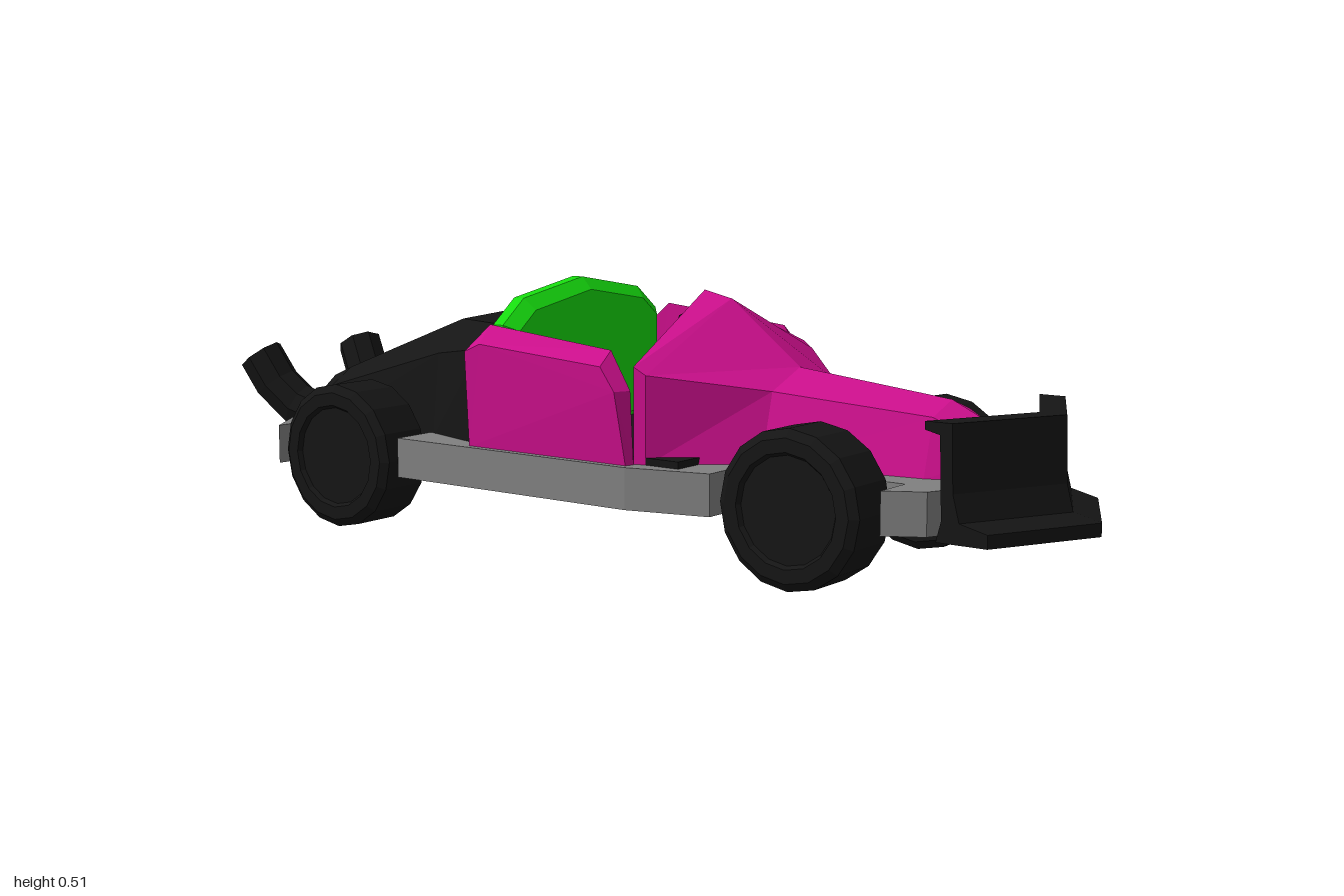
import * as THREE from 'three';

const mat = (color) => new THREE.MeshStandardMaterial({ color, flatShading: true, side: THREE.DoubleSide });

// Skin a row of cross-sections (arrays of [x, y, z]); ring closes each section, caps fill the ends
function loft(sections, ring = true, caps = true) {
  const n = sections[0].length, idx = [];
  for (let s = 0; s < sections.length - 1; s++) {
    for (let i = 0; i < (ring ? n : n - 1); i++) {
      const a = s * n + i, b = s * n + (i + 1) % n;
      idx.push(a, b, a + n, b, b + n, a + n);
    }
  }
  if (caps) {
    const last = (sections.length - 1) * n;
    const capTris = (sec) => {
      // project onto the plane the section spans most
      const range = [0, 1, 2].map((k) => Math.max(...sec.map((p) => p[k])) - Math.min(...sec.map((p) => p[k])));
      const [u, v] = [0, 1, 2].filter((k) => k !== range.indexOf(Math.min(...range)));
      return THREE.ShapeUtils.triangulateShape(sec.map((p) => new THREE.Vector2(p[u], p[v])), []);
    };
    capTris(sections[0]).forEach(([a, b, c]) => idx.push(a, c, b));
    capTris(sections[sections.length - 1]).forEach(([a, b, c]) => idx.push(last + a, last + b, last + c));
  }
  const g = new THREE.BufferGeometry();
  g.setAttribute('position', new THREE.Float32BufferAttribute(sections.flat(2), 3));
  g.setIndex(idx);
  const flat = g.toNonIndexed();
  flat.computeVertexNormals();
  return flat;
}

// Mirror a half profile, listed from the right-hand base up to the ridge on x = 0
const mirrored = (half) => [...half.map(([x, y, z]) => [-x, y, z]), ...half.slice(0, -1).reverse()];

export function createModel() {
  const car = new THREE.Group();
  car.name = 'car';
  const grey = mat(0x808080), black = mat(0x151515), pink = mat(0xcc0f8c), green = mat(0x16dd0e), red = mat(0xdd1a10);
  const add = (name, geometry, material, parent = car) => {
    const m = new THREE.Mesh(geometry, material);
    m.name = name;
    parent.add(m);
    return m;
  };

  // Chassis plate, notched around the wheels
  const edge = [[0, 0.86], [0.21, 0.77], [0.25, 0.7], [0.165, 0.7], [0.165, 0.365], [0.29, 0.365], [0.33, 0.2],
    [0.33, -0.38], [0.22, -0.38], [0.22, -0.69], [0.355, -0.7], [0.2, -0.8], [0.14, -0.77], [0, -0.77]];
  const outline = [...edge, ...edge.slice(1, -1).reverse().map(([x, z]) => [-x, z])];
  const plate = new THREE.ExtrudeGeometry(new THREE.Shape(outline.map(([x, z]) => new THREE.Vector2(x, -z))),
    { depth: 0.08, bevelEnabled: false });
  plate.rotateX(-Math.PI / 2).translate(0, 0.117, 0);
  add('chassis', plate, grey);

  // Shallow V keel under the chassis
  add('keel', loft([[0.8, 0.03], [0.4, 0.09], [-0.4, 0.17], [-0.76, 0.17]].map(([z, w]) =>
    [[-w, 0.12, z], [-w, 0.105, z], [0, 0.086, z], [w, 0.105, z], [w, 0.12, z]])), black);

  // Cockpit floor
  add('cockpitFloor', new THREE.BoxGeometry(0.57, 0.015, 0.5).translate(0, 0.203, 0.04), black);

  // Nose and windscreen cowl, open at the back
  add('nose', loft([
    [[0.035, 0.195, 0.86], [0.03, 0.215, 0.855], [0, 0.225, 0.86]],
    [[0.05, 0.195, 0.825], [0.04, 0.25, 0.82], [0, 0.272, 0.825]],
    [[0.1, 0.195, 0.7], [0.07, 0.305, 0.7], [0, 0.33, 0.7]],
    [[0.145, 0.195, 0.38], [0.11, 0.33, 0.38], [0, 0.365, 0.37]],
    [[0.285, 0.195, 0.215], [0.285, 0.365, 0.215], [0, 0.488, 0.21]],
    [[0.29, 0.195, 0.19], [0.29, 0.38, 0.19], [0, 0.502, 0.145]],
  ].map(mirrored), false, false), pink);
  add('noseTip', loft([[[-0.035, 0.195, 0.86], [-0.03, 0.215, 0.855], [0, 0.225, 0.86], [0.03, 0.215, 0.855],
    [0.035, 0.195, 0.86]], Array(5).fill([0, 0.195, 0.862])], true, false), pink);

  // Steering wheel and its column
  const wheel = add('steeringWheel', new THREE.TorusGeometry(0.04, 0.008, 6, 10), black);
  wheel.position.set(0, 0.455, 0.135);
  wheel.rotation.x = 1.2;
  const column = add('steeringColumn', new THREE.CylinderGeometry(0.008, 0.008, 0.1, 6), black);
  column.position.set(0, 0.44, 0.18);
  column.rotation.x = 1.2;

  // Side panels with bevelled outer edges
  const outerLoop = [[0.314, 0.195, 0.19], [0.326, 0.335, 0.172], [0.327, 0.38, 0.14], [0.326, 0.402, -0.16],
    [0.325, 0.385, -0.2], [0.314, 0.195, -0.2]];
  const innerLoop = [[0.296, 0.195, 0.195], [0.293, 0.335, 0.185], [0.293, 0.408, 0.14], [0.293, 0.438, -0.16],
    [0.293, 0.395, -0.21], [0.296, 0.195, -0.21]];
  for (const s of [1, -1]) {
    const flip = (loop) => loop.map(([x, y, z]) => [s * x, y, z]);
    const rings = [flip(innerLoop), flip(outerLoop)];
    add(s > 0 ? 'leftSidePanel' : 'rightSidePanel', loft(s > 0 ? rings : rings.reverse()), pink);
  }

  // Bevelled arched bulkhead behind the seats
  const arch = [[-0.225, 0.22], [0.225, 0.22], [0.225, 0.42], [0.176, 0.458], [0, 0.488], [-0.176, 0.458], [-0.225, 0.42]];
  add('headrestArch', new THREE.ExtrudeGeometry(new THREE.Shape(arch.map((p) => new THREE.Vector2(...p))),
    { depth: 0.025, bevelSize: 0.025, bevelThickness: 0.023, bevelSegments: 1 }).translate(0, 0, -0.19), green);

  // Engine cover
  add('engineCover', loft([
    [-0.205, 0.285, 0.275, 0.385, 0.19, 0.425, 0.432],
    [-0.37, 0.235, 0.215, 0.36, 0.14, 0.425, 0.432],
    [-0.7, 0.215, 0.2, 0.265, 0.14, 0.3, 0.312],
    [-0.77, 0.18, 0.175, 0.235, 0.12, 0.275, 0.285],
  ].map(([z, xb, xs, ys, xt, yt, yr]) =>
    mirrored([[xb, 0.19, z], [xs, ys, z], [xt, yt, z], [0, yr, z]]))), black);
  add('engineRear', new THREE.BoxGeometry(0.3, 0.09, 0.06).translate(0, 0.16, -0.75), black);

  // Front bumper: one side profile swept along a V
  const bumper = [[1, 0.112], [1, 0.137], [0.945, 0.15], [0.932, 0.2], [0.928, 0.322], [0.875, 0.322],
    [0.875, 0.307], [0.905, 0.3], [0.91, 0.15], [0.9, 0.112]];
  add('frontBumper', loft([-0.217, 0, 0.217].map((x) =>
    bumper.map(([z, y]) => [x, y, z - 0.5 * Math.abs(x)]))), black);

  // Wheels: tyre with a recessed hub face
  const tyre = [[0, -0.055], [0.1, -0.055], [0.106, -0.064], [0.132, -0.064], [0.148, -0.052],
    [0.148, 0.052], [0.132, 0.064], [0.106, 0.064], [0.1, 0.055], [0, 0.055]];
  const tyreGeometry = new THREE.LatheGeometry(tyre.map((p) => new THREE.Vector2(...p)), 16);
  tyreGeometry.rotateZ(Math.PI / 2);

  for (const s of [1, -1]) {
    const side = s > 0 ? 'left' : 'right';
    for (const [name, x, z] of [['FrontWheel', 0.232, 0.532], ['RearWheel', 0.295, -0.535]]) {
      add(side + name, tyreGeometry, black).position.set(s * x, 0.148, z);
    }

    // Upswept exhaust pipe
    const path = new THREE.CurvePath();
    const pts = [[0.1, 0.175, -0.74], [0.112, 0.18, -0.83], [0.135, 0.22, -0.91], [0.155, 0.31, -0.97]]
      .map(([x, y, z]) => new THREE.Vector3(s * x, y, z));
    for (let i = 0; i < 3; i++) path.add(new THREE.LineCurve3(pts[i], pts[i + 1]));
    add(side + 'Exhaust', new THREE.TubeGeometry(new THREE.CatmullRomCurve3(pts), 4, 0.05, 8), black);
    const end = add(side + 'ExhaustEnd', new THREE.CircleGeometry(0.05, 8), black);
    end.position.copy(pts[3]);
    end.lookAt(pts[3].clone().multiplyScalar(2).sub(pts[2]));

    // Tail light hung below the chassis
    const light = new THREE.Group();
    light.name = side + 'TailLight';
    light.position.set(s * 0.185, 0.078, -0.762);
    light.rotation.y = -s * 0.35;
    add('housing', new THREE.BoxGeometry(0.125, 0.042, 0.025), grey, light);
    add('lens', new THREE.BoxGeometry(0.095, 0.018, 0.008).translate(0, 0, -0.012), red, light);
    add('bracket', new THREE.BoxGeometry(0.04, 0.04, 0.02).translate(0, 0.03, 0.005), grey, light);
    car.add(light);
  }
  return car;
}
